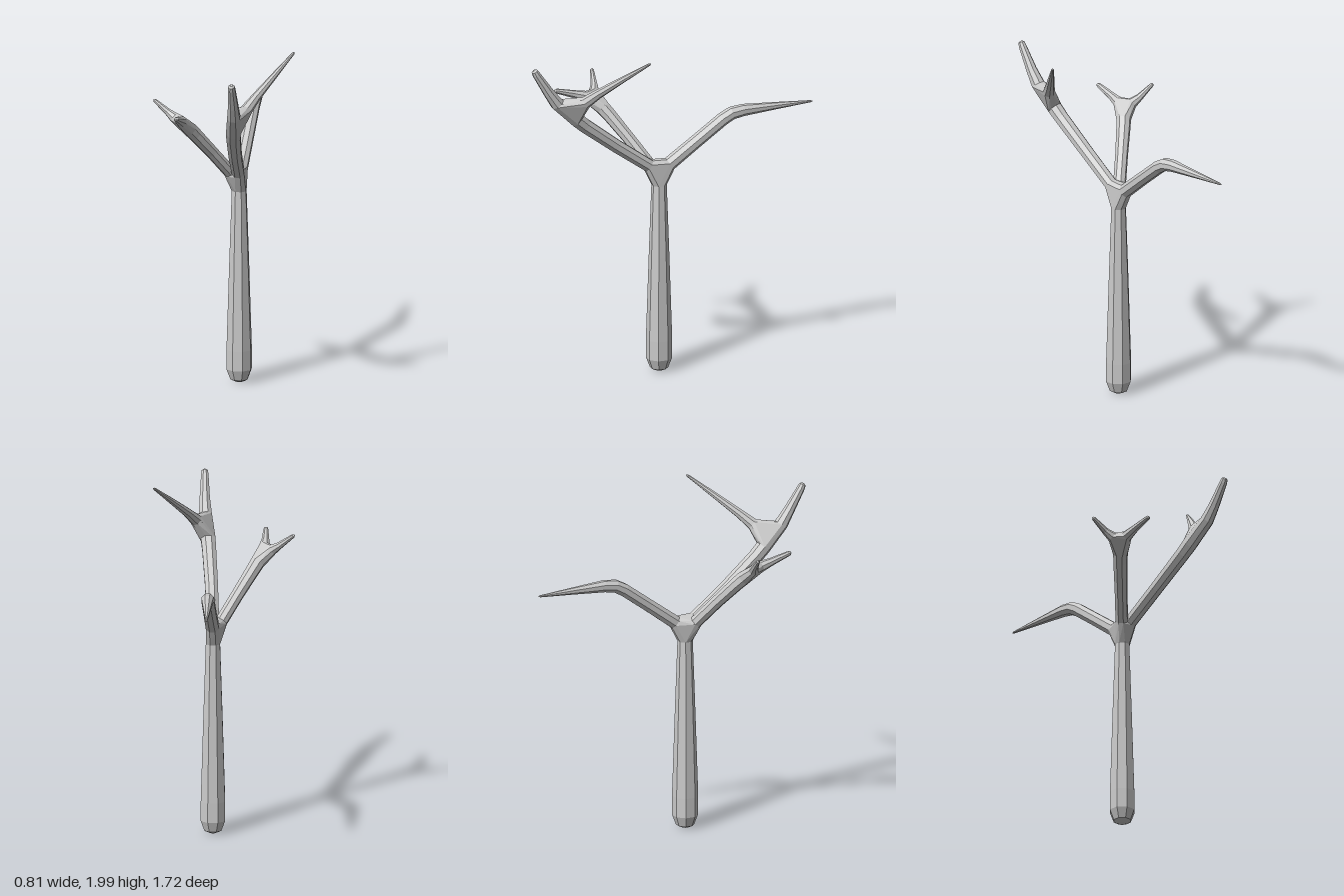
import * as THREE from 'three';
import { ConvexGeometry } from 'three/addons/geometries/ConvexGeometry.js';

const SIDES = 8;
const material = new THREE.MeshStandardMaterial({ color: 0xcccccc, flatShading: true });

// Rings of points around a path; each stop is [x, y, z, radius]
function makeRings(stops) {
  const centres = stops.map((s) => new THREE.Vector3(s[0], s[1], s[2]));
  const last = stops.length - 1;
  const normal = new THREE.Vector3(1, 0, 0);
  return stops.map((s, i) => {
    const before = centres[i].clone().sub(centres[Math.max(i - 1, 0)]).normalize();
    const after = centres[Math.min(i + 1, last)].clone().sub(centres[i]).normalize();
    const dir = before.add(after).normalize();
    // carry the normal along the path so the facets do not twist
    normal.addScaledVector(dir, -normal.dot(dir)).normalize();
    const side = new THREE.Vector3().crossVectors(dir, normal);
    return Array.from({ length: SIDES }, (_, k) => {
      const a = ((k + 0.5) / SIDES) * Math.PI * 2;
      return centres[i].clone()
        .addScaledVector(normal, Math.cos(a) * s[3])
        .addScaledVector(side, Math.sin(a) * s[3]);
    });
  });
}

// Closed faceted tube through the rings
function limbGeometry(stops, rings) {
  const points = rings.flat();
  const index = [];
  for (let i = 0; i < rings.length - 1; i++) {
    for (let k = 0; k < SIDES; k++) {
      const a = i * SIDES + k;
      const b = i * SIDES + ((k + 1) % SIDES);
      index.push(a, b, b + SIDES, a, b + SIDES, a + SIDES);
    }
  }
  const end = (rings.length - 1) * SIDES;
  const first = points.length;
  for (const s of [stops[0], stops[stops.length - 1]]) points.push(new THREE.Vector3(s[0], s[1], s[2]));
  for (let k = 0; k < SIDES; k++) {
    const n = (k + 1) % SIDES;
    index.push(first, n, k, first + 1, end + k, end + n);
  }
  const geometry = new THREE.BufferGeometry().setFromPoints(points);
  geometry.setIndex(index);
  geometry.computeVertexNormals();
  return geometry;
}

const LIMBS = {
  trunk: [
    [0.06, 0.01, 0.065, 0.02], [0.06, 0.025, 0.065, 0.052], [0.06, 0.085, 0.065, 0.075],
    [0.06, 0.2, 0.065, 0.075], [0.06, 0.7, 0.065, 0.059], [0.06, 1.13, 0.065, 0.044]],
  backBranch: [
    [0.062, 1.25, 0, 0.041], [0.073, 1.37, -0.16, 0.039], [0.082, 1.485, -0.315, 0.039],
    [0.084, 1.515, -0.37, 0.038], [0.085, 1.525, -0.44, 0.035],
    [0.085, 1.526, -0.65, 0.02], [0.085, 1.526, -0.85, 0.006], [0.085, 1.526, -0.86, 0.002]],
  frontBranch: [
    [0.062, 1.255, 0.13, 0.039], [0.072, 1.4, 0.33, 0.04], [0.088, 1.555, 0.53, 0.043],
    [0.094, 1.6, 0.58, 0.045]],
  frontTine: [
    [0.112, 1.715, 0.705, 0.04], [0.116, 1.79, 0.758, 0.032], [0.117, 1.91, 0.834, 0.023],
    [0.117, 1.932, 0.846, 0.019], [0.117, 1.939, 0.85, 0.009]],
  longTine: [
    [0.165, 1.725, 0.55, 0.035], [0.21, 1.783, 0.49, 0.027], [0.3, 1.885, 0.375, 0.018],
    [0.395, 1.991, 0.253, 0.008], [0.401, 1.997, 0.246, 0.003]],
  rightBranch: [
    [0.012, 1.25, 0.112, 0.037], [-0.08, 1.385, 0.2, 0.037], [-0.165, 1.505, 0.283, 0.041],
    [-0.19, 1.54, 0.31, 0.043]],
  rightFrontTine: [
    [-0.23, 1.61, 0.405, 0.032], [-0.234, 1.63, 0.47, 0.023], [-0.235, 1.66, 0.57, 0.015],
    [-0.235, 1.664, 0.586, 0.012], [-0.235, 1.666, 0.592, 0.005]],
  rightSideTine: [
    [-0.277, 1.613, 0.333, 0.031], [-0.315, 1.64, 0.318, 0.021], [-0.395, 1.703, 0.301, 0.011],
    [-0.401, 1.708, 0.3, 0.004]],
};

export function createModel() {
  const group = new THREE.Group();
  const rings = {};
  const add = (name, geometry) => {
    const mesh = new THREE.Mesh(geometry, material);
    mesh.name = name;
    group.add(mesh);
  };

  for (const [name, stops] of Object.entries(LIMBS)) {
    rings[name] = makeRings(stops);
    add(name, limbGeometry(stops, rings[name]));
  }

  // Webbed joints: hull from the end of one limb to the starts of those it feeds
  const joint = (name, from, ...to) => {
    const points = rings[from][rings[from].length - 1].concat(...to.map((t) => rings[t][0]));
    add(name, new ConvexGeometry(points));
  };
  joint('crotch', 'trunk', 'backBranch', 'frontBranch', 'rightBranch');
  joint('frontFork', 'frontBranch', 'frontTine', 'longTine');
  joint('rightFork', 'rightBranch', 'rightFrontTine', 'rightSideTine');
  return group;
}
